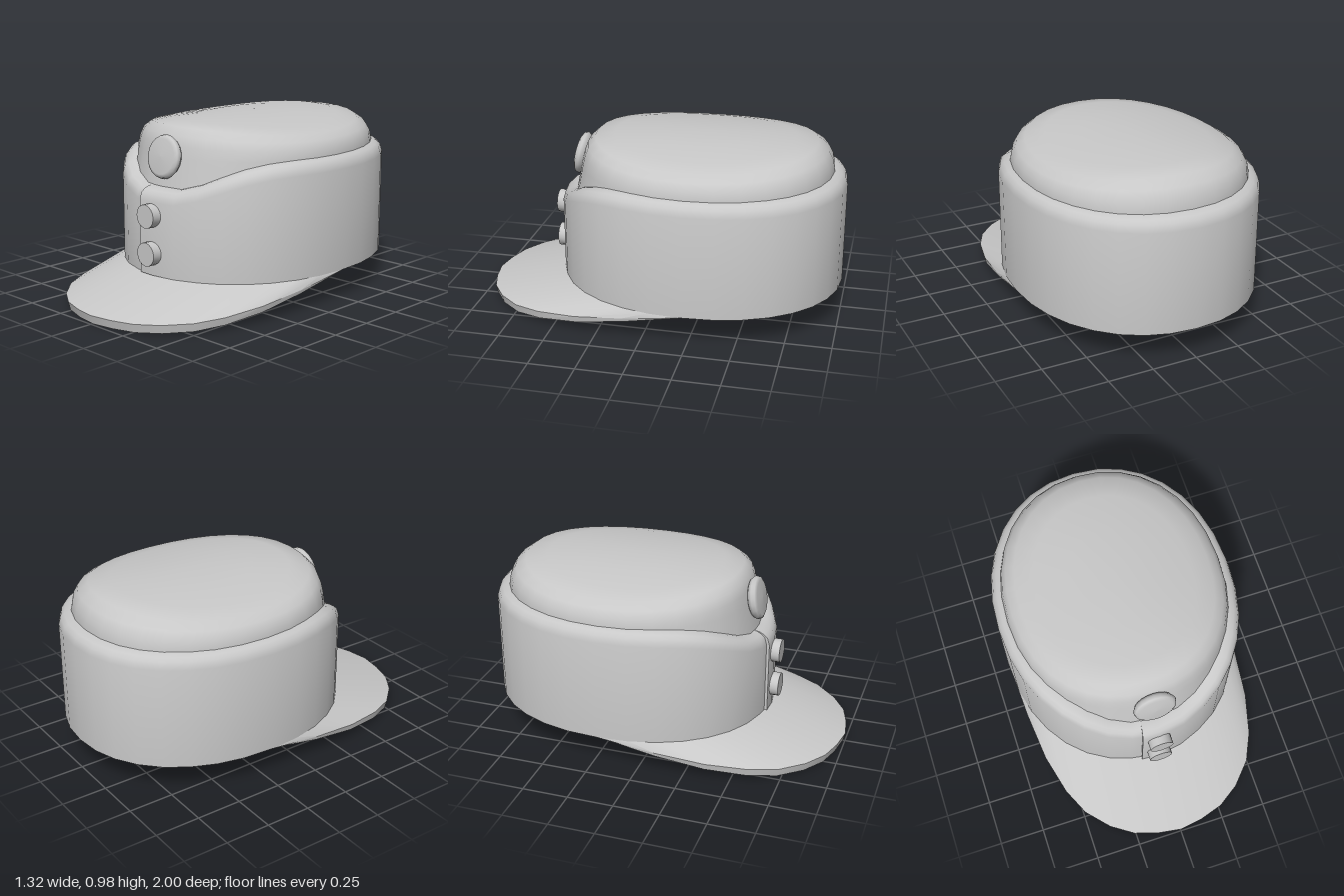
import * as THREE from 'three';
import { toCreasedNormals } from 'three/addons/utils/BufferGeometryUtils.js';

const STEP = Math.PI / 16;   // 32 columns round the head
const CZ = -0.22;            // middle of the head oval

// Point at angle a (0 = front, turning towards +x) on a slightly squared oval
const full = (v) => Math.sign(v) * Math.abs(v) ** 0.93;
const oval = (a, rx, rz, y) => [rx * full(Math.sin(a)), y, CZ + rz * full(Math.cos(a))];

// Skin a list of cross-sections, each running outward or upward
function loft(columns, crease = 0.8) {
  const n = columns[0].length, index = [];
  for (let i = 0; i < columns.length - 1; i++) {
    for (let j = 0; j < n - 1; j++) {
      const a = i * n + j, b = a + n;
      index.push(a, b, b + 1, a, b + 1, a + 1);
    }
  }
  const geo = new THREE.BufferGeometry();
  geo.setAttribute('position', new THREE.Float32BufferAttribute(columns.flat(2), 3));
  geo.setIndex(index);
  return toCreasedNormals(geo, crease);
}

export function createModel() {
  const cap = new THREE.Group();
  cap.name = 'cap';
  const grey = new THREE.MeshStandardMaterial({ color: 0xc8c8c8 });
  grey.name = 'grey cloth';

  const add = (name, geo) => {
    const mesh = new THREE.Mesh(geo, grey);
    mesh.name = name;
    cap.add(mesh);
    return mesh;
  };
  const around = Array.from({ length: 33 }, (_, i) => i * STEP);

  // Band: folded-up cloth that dips at the front, with an overlapping seam
  const bandTop = (a) => {
    if (Math.cos(a) <= 0) return 0.8;
    const x = Math.abs(oval(a, 0.6, 0.7, 0)[0]);
    return 0.8 - 0.16 * (1 - THREE.MathUtils.smoothstep(x, 0.1, 0.58));
  };
  const bandColumn = (a, extra) => {
    const t = bandTop(a);
    const profile = [[0.065, 0.17], [0, 0.17], [0, t - 0.07], [0.012, t - 0.03],
      [0.032, t - 0.013], [0.06, t], [0.088, t + 0.002]];
    return profile.map(([inset, y], k) => {
      const d = k === 0 ? -inset : extra - inset;
      return oval(a, 0.66 + d, 0.78 + d, y);
    });
  };
  const seam = -0.12, lap = 0.016;
  const bandColumns = [bandColumn(seam, lap)];
  for (let i = 0; i < 31; i++) bandColumns.push(bandColumn(i * STEP, lap * Math.max(0, 1 - i / 2)));
  // the last two columns make the raised edge of the seam
  bandColumns.push(bandColumn(-STEP, 0), bandColumn(seam, 0), bandColumn(seam, lap));
  add('band', loft(bandColumns));

  // Crown: scale, height, rim lift at front and back, extra slope at the front
  const crownProfile = [
    [1.015, 0.6, 0, 0], [1.005, 0.8, 0, 0.05], [0.99, 0.845, 0.015, 0.055], [0.95, 0.882, 0.03, 0.04],
    [0.87, 0.912, 0.04, 0.02], [0.7, 0.938, 0.03, 0], [0.4, 0.966, 0.01, 0], [0, 0.984, 0, 0]];
  add('crown', loft(around.map((a) => {
    const c = Math.cos(a), front = Math.max(0, c) ** 2;
    return crownProfile.map(([s, y, lift, slope]) => {
      const k = s - slope * front;
      return oval(a, 0.6 * k, 0.705 * k, y + lift * c * c);
    });
  }), 1.0));

  // Lining: inner wall and ceiling, facing inward
  const liningProfile = [[0, 0.93], [0.4, 0.913], [0.66, 0.885], [0.8, 0.85],
    [0.88, 0.79], [0.92, 0.7], [0.99, 0.5], [1, 0.17]];
  add('lining', loft(around.map((a) =>
    liningProfile.map(([s, y]) => oval(a, 0.595 * s, 0.715 * s, y))), 1.0));

  // Visor: sloping peak, thick at the front and thinning out towards the sides
  const rim = [[0, 1], [0.13, 0.98], [0.26, 0.94], [0.38, 0.86], [0.49, 0.74],
    [0.56, 0.59], [0.615, 0.37], [0.642, 0.1], [0.657, -0.22]];
  const visorColumns = [];
  for (let i = -8; i <= 8; i++) {
    const a = i * STEP, [rx, z] = rim[Math.abs(i)], x = Math.sign(i) * rx;
    const t = (1 - z) / 1.22;
    const y = 0.168 * t ** 1.7;
    const thickness = 0.047 * (1 - t * t);
    visorColumns.push([
      oval(a, 0.595, 0.715, 0.171),
      oval(a, 0.595, 0.715, 0.169 - thickness),
      [x * 0.99, y, z - 0.012 * (1 - t)],
      [x, y + thickness, z],
      oval(a, 0.655, 0.775, 0.171),
    ]);
  }
  add('visor', loft(visorColumns, 0.6));

  // Two flat buttons on the band
  const buttonGeo = toCreasedNormals(new THREE.CylinderGeometry(0.065, 0.065, 0.07, 16).rotateX(Math.PI / 2), 0.8);
  for (const [name, y] of [['upperButton', 0.5], ['lowerButton', 0.293]]) {
    add(name, buttonGeo).position.set(0, y, 0.585);
  }

  // Rounded badge leaning against the crown
  const badgeProfile = [[0, -0.036], [0.08, -0.034], [0.106, -0.02], [0.119, 0],
    [0.113, 0.018], [0.095, 0.028], [0, 0.032]].map(([r, h]) => new THREE.Vector2(r, h));
  const badge = add('crownBadge', new THREE.LatheGeometry(badgeProfile, 20).rotateX(Math.PI / 2));
  badge.position.set(0, 0.8, 0.472);
  badge.rotation.x = -0.19;

  return cap;
}
